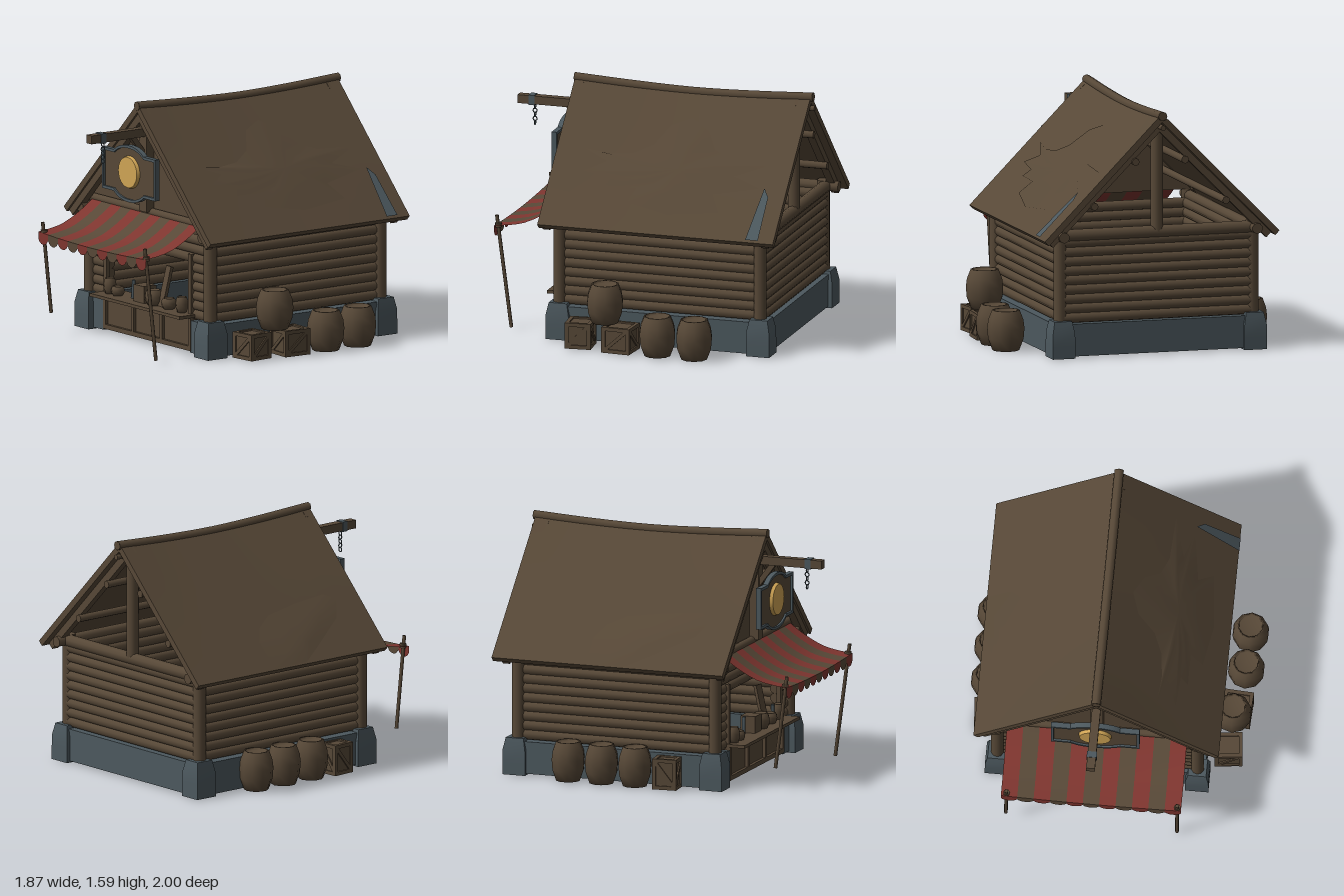
import * as THREE from 'three';

const CX = -0.07; // centre line of the hut
const mat = (name, color, side = THREE.DoubleSide) => Object.assign(new THREE.MeshStandardMaterial({ color, side }), { name });

export function createModel() {
  const wood = mat('wood', 0x574837);
  const stone = mat('blue grey stone', 0x4c585e);
  const red = mat('red cloth', 0x7e352f);
  const gold = mat('gold', 0xcfa455);
  const root = new THREE.Group();

  const add = (name, geo, m, x = 0, y = 0, z = 0, parent = root) => {
    const mesh = new THREE.Mesh(geo, m);
    mesh.name = name;
    mesh.position.set(x, y, z);
    parent.add(mesh);
    return mesh;
  };
  const box = (name, m, x, y, z, w, h, d, parent) => add(name, new THREE.BoxGeometry(w, h, d), m, x, y, z, parent);
  // Geometry whose length lies along z, laid between two points
  const between = (name, m, a, b, make) => {
    const A = new THREE.Vector3(...a), B = new THREE.Vector3(...b);
    const mesh = add(name, make(A.distanceTo(B)), m);
    mesh.position.copy(A).lerp(B, 0.5);
    mesh.lookAt(B);
    return mesh;
  };
  const log = (name, a, b, r, m = wood, n = 10) =>
    between(name, m, a, b, (l) => new THREE.CylinderGeometry(r, r, l, n).rotateX(Math.PI / 2));
  const bar = (name, a, b, w, h, m = wood) => between(name, m, a, b, (l) => new THREE.BoxGeometry(w, h, l));

  // Stone footing, corner blocks and log corner posts
  box('floor', wood, CX, 0.03, -0.18, 1.3, 0.03, 1.38);
  for (const s of [-1, 1]) {
    const x = CX + s * 0.645;
    box('sideFooting', stone, x, 0.115, -0.18, 0.1, 0.21, 1.3);
    box('frontFooting', stone, CX + s * 0.53, 0.115, 0.49, 0.13, 0.21, 0.1);
    for (const z of [0.505, -0.85]) {
      const g = new THREE.BoxGeometry(0.15, 0.24, 0.155, 1, 3, 1);
      const p = g.attributes.position;
      for (let i = 0; i < p.count; i++) {
        const k = 1 - 0.22 * Math.max(0, p.getY(i) / 0.12) ** 3;
        p.setX(i, p.getX(i) * k);
        p.setZ(i, p.getZ(i) * k);
      }
      g.computeVertexNormals();
      add('cornerStone', g, stone, x, 0.12, z);
      log('cornerPost', [x, 0.2, z + 0.005], [x, 0.83, z + 0.005], 0.042);
    }
  }
  box('backFooting', stone, CX, 0.115, -0.85, 1.25, 0.21, 0.1);

  // Log walls
  for (let i = 0; i < 9; i++) {
    const y = 0.255 + i * 0.061;
    for (const s of [-1, 1]) {
      log('sideLog', [CX + s * 0.63, y, 0.5], [CX + s * 0.63, y, -0.85], 0.034);
      if (i < 6) log('frontLog', [CX + s * 0.64, y, 0.49], [CX + s * 0.45, y, 0.49], 0.033);
    }
    log('backLog', [CX - 0.63, y, -0.85], [CX + 0.63, y, -0.85], 0.034);
    if (i > 5) log('lintelLog', [CX - 0.64, y, 0.49], [CX + 0.64, y, 0.49], 0.033);
  }
  for (const s of [-1, 1]) {
    bar('openingPost', [CX + s * 0.455, 0.22, 0.52], [CX + s * 0.455, 0.65, 0.52], 0.03, 0.03);
    log('wallPlate', [CX + s * 0.65, 0.79, 0.59], [CX + s * 0.65, 0.79, -0.95], 0.035);
  }
  log('frontBeam', [CX - 0.62, 0.855, 0.52], [CX + 0.62, 0.855, 0.52], 0.028);
  log('backBeam', [CX - 0.65, 0.79, -0.86], [CX + 0.65, 0.79, -0.86], 0.04);

  // Front gable boarding; the back gable stays open with a king post
  const gable = new THREE.Shape([[-0.66, 0.83], [0.66, 0.83], [0, 1.5]].map((p) => new THREE.Vector2(...p)));
  add('frontGable', new THREE.ExtrudeGeometry(gable, { depth: 0.03, bevelEnabled: false }), wood, CX, 0, 0.48);
  bar('frontKingPost', [CX, 0.86, 0.54], [CX, 1.45, 0.54], 0.08, 0.06);
  log('backKingPost', [CX, 0.79, -0.86], [CX, 1.5, -0.86], 0.04);

  // Sagging roof: u runs from ridge to eave, h lifts off the surface
  const roofPoint = (s, u, z, h) => {
    const v = (z + 0.18) / 0.795;
    const sag = 0.028 * (1 - v * v) * (1 - u);
    return new THREE.Vector3(CX + s * (0.79 * u + 0.71 * h), 1.57 - 0.795 * u - sag + 0.71 * h, z);
  };
  for (const s of [-1, 1]) {
    const g = new THREE.BoxGeometry(1, 0.04, 1.59, 4, 1, 10);
    const p = g.attributes.position;
    for (let i = 0; i < p.count; i++) {
      const q = roofPoint(s, s * p.getX(i) + 0.5, p.getZ(i) - 0.18, p.getY(i) - 0.02);
      p.setXYZ(i, q.x, q.y, q.z);
    }
    g.computeVertexNormals();
    add('roofSlope', g, wood);
    for (const z of [0.575, -0.9]) {
      const a = roofPoint(s, 0, z, -0.06), b = roofPoint(s, 0.985, z, -0.06);
      bar('rafter', a.toArray(), b.toArray(), 0.05, 0.05);
    }
    for (const u of [0.3, 0.65]) {
      log('purlin', roofPoint(s, u, 0.54, -0.1).toArray(), roofPoint(s, u, -0.94, -0.1).toArray(), 0.025, wood, 8);
    }
  }
  const ridge = new THREE.CatmullRomCurve3([[0.62, 1.555], [0.2, 1.535], [-0.2, 1.525], [-0.6, 1.535], [-0.99, 1.555]]
    .map(([z, y]) => new THREE.Vector3(CX, y, z)));
  add('ridgeCap', new THREE.TubeGeometry(ridge, 16, 0.03, 8), wood);
  for (const z of [0.62, -0.99]) add('ridgeEnd', new THREE.CircleGeometry(0.03, 8), wood, CX, 1.555, z);
  log('ridgePurlin', [CX, 1.48, 0.5], [CX, 1.48, -1], 0.018, wood, 8);

  // Worn patches on the roof, slightly domed; outline points are [z, u]
  const patch = (name, s, centre, outline, lift) => {
    const pts = [roofPoint(s, centre[1], centre[0], lift)];
    const n = outline.length;
    const rings = [[0.5, lift * 0.75], [1, 0.004]];
    for (const [k, h] of rings) for (const [z, u] of outline) {
      pts.push(roofPoint(s, centre[1] + (u - centre[1]) * k, centre[0] + (z - centre[0]) * k, h));
    }
    const idx = [];
    const tri = (a, b, c) => (s > 0 ? idx.push(a, b, c) : idx.push(a, c, b));
    for (let i = 0; i < n; i++) {
      const j = (i + 1) % n;
      tri(0, 1 + i, 1 + j);
      tri(1 + i, 1 + n + i, 1 + n + j);
      tri(1 + i, 1 + n + j, 1 + j);
    }
    const g = new THREE.BufferGeometry().setFromPoints(pts);
    g.setIndex(idx);
    g.computeVertexNormals();
    add(name, g, wood);
  };
  patch('jaggedRoofPatch', 1, [-0.23, 0.56], [
    [0.43, 0.47], [0.25, 0.49], [0.1, 0.47], [-0.02, 0.4], [-0.1, 0.26], [-0.23, 0.2], [-0.36, 0.28], [-0.43, 0.4],
    [-0.55, 0.46], [-0.83, 0.48], [-0.6, 0.57], [-0.79, 0.64], [-0.49, 0.7], [-0.56, 0.82], [-0.22, 0.86],
    [0.06, 0.8], [0.02, 0.7], [0.23, 0.7], [0.2, 0.64], [0.4, 0.62], [0.26, 0.54]], 0.018);
  patch('roundRoofPatch', -1, [0, 0.82], [
    [-0.33, 0.99], [-0.33, 0.8], [-0.27, 0.71], [-0.15, 0.64], [0.1, 0.6], [0.35, 0.58], [0.43, 0.63],
    [0.35, 0.75], [0.08, 0.91], [-0.06, 0.99]], 0.015);
  const slate = [[-0.79, 0.99], [-0.875, 0.99], [-0.87, 0.7], [-0.83, 0.64]].map(([z, u]) => roofPoint(1, u, z, 0.015));
  const slateGeo = new THREE.BufferGeometry().setFromPoints(slate);
  slateGeo.setIndex([0, 1, 2, 0, 2, 3]);
  slateGeo.computeVertexNormals();
  add('loosePlate', slateGeo, stone);

  // Projecting beam, iron band, chain and brace
  bar('signBeam', [CX, 1.382, 0.45], [CX, 1.382, 1], 0.055, 0.055);
  bar('beamBrace', [CX, 1.2, 0.54], [CX, 1.36, 0.66], 0.035, 0.035);
  box('beamBand', stone, CX, 1.382, 0.905, 0.065, 0.065, 0.04);
  for (let i = 0; i < 5; i++) {
    const link = add('chainLink', new THREE.TorusGeometry(0.014, 0.004, 5, 8), stone, CX, 1.335 - i * 0.027, 0.89);
    link.rotation.y = (i % 2) * Math.PI / 2;
  }

  // Hanging sign: iron rim, recessed panel, gold disc
  const signShape = (k) => {
    const s = new THREE.Shape();
    s.moveTo(-0.285 + k, -0.135 + k);
    s.lineTo(-0.16, -0.135 + k);
    s.quadraticCurveTo(-0.1, -0.185 + k, 0, -0.185 + k);
    s.quadraticCurveTo(0.1, -0.185 + k, 0.16, -0.135 + k);
    s.lineTo(0.285 - k, -0.135 + k);
    s.lineTo(0.285 - k, 0.135 - k);
    s.lineTo(0.16, 0.135 - k);
    s.quadraticCurveTo(0.1, 0.185 - k, 0, 0.185 - k);
    s.quadraticCurveTo(-0.1, 0.185 - k, -0.16, 0.135 - k);
    s.lineTo(-0.285 + k, 0.135 - k);
    s.closePath();
    return s;
  };
  const rim = signShape(0);
  rim.holes.push(signShape(0.018));
  const flat = (depth) => ({ depth, bevelEnabled: false });
  add('signRim', new THREE.ExtrudeGeometry(rim, flat(0.035)), stone, CX, 1.12, 0.65);
  add('signPanel', new THREE.ExtrudeGeometry(signShape(0.015), flat(0.015)), wood, CX, 1.12, 0.657);
  const disc = add('signDisc', new THREE.CylinderGeometry(0.1, 0.107, 0.022, 24), gold, CX, 1.13, 0.682);
  disc.rotation.x = Math.PI / 2;

  // Striped awning with scalloped valance
  const sweep = new THREE.CatmullRomCurve3([[0.53, 0.86], [0.64, 0.785], [0.77, 0.72], [0.88, 0.695], [0.975, 0.685]]
    .map(([z, y]) => new THREE.Vector3(0, y, z)));
  const w = 1.16 / 11;
  for (let i = 0; i < 11; i++) {
    const x0 = CX - 0.58 + i * w;
    const m = i % 2 ? wood : red;
    const sag = (x, v) => 0.018 * v * (1 - ((x - CX) / 0.58) ** 2);
    const g = new THREE.PlaneGeometry(w, 1, 2, 10);
    const p = g.attributes.position;
    for (let j = 0; j < p.count; j++) {
      const v = 0.5 - p.getY(j), x = x0 + w / 2 + p.getX(j);
      const q = sweep.getPoint(v);
      p.setXYZ(j, x, q.y - sag(x, v), q.z);
    }
    g.computeVertexNormals();
    add('awningStripe', g, m);
    const scallop = new THREE.Shape();
    scallop.moveTo(0, -sag(x0, 1));
    scallop.lineTo(0, -0.045);
    scallop.bezierCurveTo(0.02, -0.09, w - 0.02, -0.09, w, -0.045);
    scallop.lineTo(w, -sag(x0 + w, 1));
    add('awningScallop', new THREE.ShapeGeometry(scallop, 6), m, x0, 0.685, 0.975);
  }
  for (const [x, y, z] of [[-0.625, 0.15, 0.89], [0.475, 0.01, 0.87]]) {
    log('awningPole', [x + 0.01, 0.75, 0.965], [x, y, z], 0.012, wood, 7);
    log('poleBinding', [x + 0.01, 0.7, 0.955], [x + 0.01, 0.67, 0.953], 0.022, wood, 7);
  }

  // Counter with three panels
  box('counterFront', wood, CX + 0.01, 0.13, 0.5, 0.94, 0.2, 0.05);
  for (let i = 0; i < 4; i++) box('counterUpright', wood, -0.52 + i * 0.305, 0.13, 0.53, 0.025, 0.22, 0.03);
  box('counterRail', wood, CX + 0.01, 0.035, 0.53, 0.94, 0.03, 0.03);
  box('counterTop', wood, CX + 0.01, 0.25, 0.53, 0.97, 0.02, 0.23);

  // Barrels, crates and jars
  const barrel = (name, x, y, z, r, h, n = 10) => {
    const k = [[0, 0], [0.72, 0], [0.95, 0.28], [1, 0.55], [0.94, 0.76], [0.74, 1], [0.64, 1], [0.64, 0.93], [0, 0.93]];
    return add(name, new THREE.LatheGeometry(k.map(([a, b]) => new THREE.Vector2(a * r, b * h)), n), wood, x, y, z);
  };
  const crate = (x, y, z, sx, h, sz, turn) => {
    const g = new THREE.Group();
    g.name = 'crate';
    g.position.set(x, y, z);
    g.rotation.y = turn;
    root.add(g);
    box('crateBody', wood, 0, h / 2, 0, sx - 0.02, h - 0.02, sz - 0.02, g);
    for (const a of [-1, 1]) for (const b of [-1, 1]) {
      box('crateCorner', wood, a * (sx / 2 - 0.012), h / 2, b * (sz / 2 - 0.012), 0.025, h, 0.025, g);
      for (const e of [0.012, h - 0.012]) if (b > 0) {
        box('crateSideSlat', wood, a * (sx / 2 - 0.012), e, 0, 0.024, 0.024, sz, g);
        box('crateEndSlat', wood, 0, e, a * (sz / 2 - 0.012), sx, 0.024, 0.024, g);
      }
    }
    for (const a of [-1, 1]) {
      const d = box('crateBrace', wood, a * (sx / 2 - 0.008), h / 2, 0, 0.014, 0.022, Math.hypot(h, sz) - 0.03, g);
      d.rotation.x = Math.atan2(h, sz);
      const e = box('crateBrace', wood, 0, h / 2, a * (sz / 2 - 0.008), Math.hypot(h, sx) - 0.03, 0.022, 0.014, g);
      e.rotation.z = Math.atan2(h, sx);
    }
  };
  barrel('barrel', 0.82, 0.005, -0.23, 0.12, 0.26);
  barrel('barrel', 0.825, 0.005, -0.48, 0.12, 0.26);
  barrel('barrel', 0.77, 0.18, 0.14, 0.12, 0.255);
  crate(0.755, 0.005, 0.31, 0.18, 0.17, 0.17, 0.1);
  crate(0.785, 0.005, 0.03, 0.19, 0.17, 0.19, -0.06);
  for (const z of [-0.46, -0.23, 0]) barrel('barrel', -0.825, 0.005, z, 0.11, 0.255);
  crate(-0.82, 0.005, 0.22, 0.14, 0.2, 0.16, 0.08);

  for (const [x, r, h] of [[-0.465, 0.042, 0.1], [-0.38, 0.045, 0.06], [0.01, 0.06, 0.1], [0.17, 0.05, 0.07], [0.31, 0.042, 0.1]]) {
    barrel('jar', x, 0.26, 0.54, r, h, 8);
  }
  box('counterBox', wood, -0.115, 0.315, 0.52, 0.11, 0.11, 0.1);
  bar('leaningBoard', [0.09, 0.26, 0.54], [0.1, 0.52, 0.48], 0.065, 0.02);
  log('bottle', [-0.245, 0.26, 0.52], [-0.235, 0.38, 0.52], 0.012, stone, 8);
  log('bottle', [0.265, 0.26, 0.52], [0.265, 0.36, 0.52], 0.012, stone, 8);
  return root;
}
